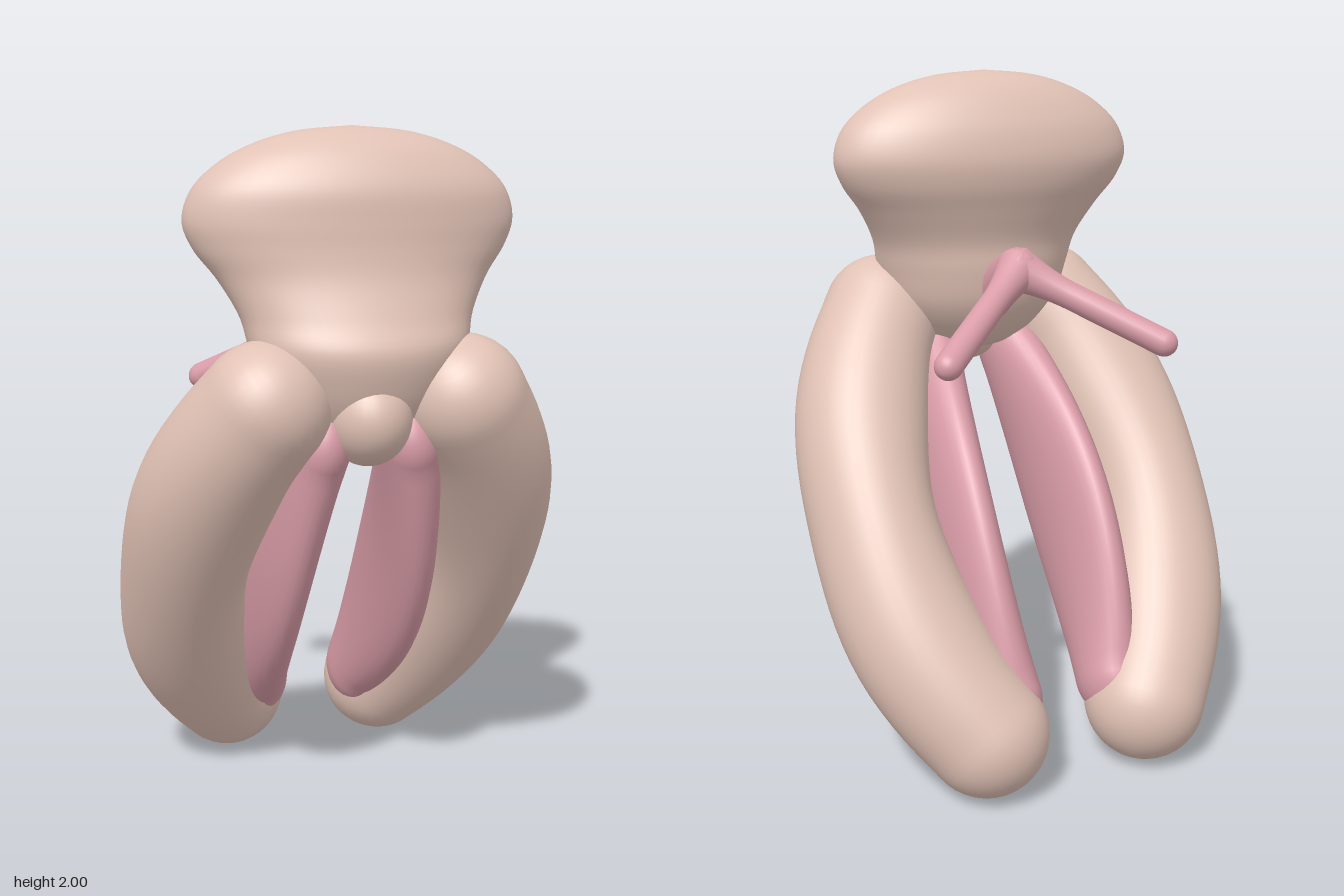
import * as THREE from 'three';

const V = (x, y, z) => new THREE.Vector3(x, y, z);

// Smooth closed skin over elliptical rings { c: centre, a, b: half axes, a x b points along the loft }
function loft(rings, sides = 40) {
  const pos = [], idx = [];
  rings.forEach(({ c, a, b }, i) => {
    for (let j = 0; j < sides; j++) {
      const t = (j / sides) * Math.PI * 2;
      const p = c.clone().addScaledVector(a, Math.cos(t)).addScaledVector(b, Math.sin(t));
      pos.push(p.x, p.y, p.z);
      if (i === rings.length - 1) continue;
      const k = i * sides + j, n = i * sides + ((j + 1) % sides);
      idx.push(k, n, k + sides, n, n + sides, k + sides);
    }
  });
  const g = new THREE.BufferGeometry();
  g.setAttribute('position', new THREE.Float32BufferAttribute(pos, 3));
  g.setIndex(idx);
  g.computeVertexNormals();
  return g;
}

// Round-ended limb along a curve; wide(t) is the half width sideways, deep(t) the other one
function limb(curve, wide, deep, cap, sides) {
  const rings = [];
  const add = (t, push, scale) => {
    const T = curve.getTangent(t);
    const a = V(1, 0, 0).addScaledVector(T, -T.x).normalize();
    const b = T.clone().cross(a);
    rings.push({
      c: curve.getPoint(t).addScaledVector(T, push),
      a: a.multiplyScalar(wide(t) * scale),
      b: b.multiplyScalar(deep(t) * scale),
    });
  };
  const capSteps = 10, steps = 30, eps = 0.002;
  for (let i = 0; i < capSteps; i++) {
    const f = (1 - i / capSteps) * Math.PI / 2;
    add(0, -cap * Math.sin(f), Math.max(Math.cos(f), eps));
  }
  for (let i = 0; i <= steps; i++) add(i / steps, 0, 1);
  for (let i = 1; i <= capSteps; i++) {
    const f = (i / capSteps) * Math.PI / 2;
    add(1, cap * Math.sin(f), Math.max(Math.cos(f), eps));
  }
  return loft(rings, sides);
}

// Bow from p to q whose middle is m; a larger spread makes it rounder
function bow(p, m, q, spread) {
  const half = p.clone().add(q).multiplyScalar(0.5);
  const rise = m.clone().sub(half), run = q.clone().sub(p).multiplyScalar(0.5);
  const pts = [];
  for (let i = -5; i <= 5; i++) {
    const f = (i / 5) * spread;
    const up = (Math.cos(f) - Math.cos(spread)) / (1 - Math.cos(spread));
    pts.push(half.clone().addScaledVector(run, Math.sin(f) / Math.sin(spread)).addScaledVector(rise, up));
  }
  return new THREE.CatmullRomCurve3(pts);
}

export function createModel() {
  const model = new THREE.Group();
  const skin = new THREE.MeshStandardMaterial({ color: 0xe1c2b5 });
  skin.name = 'skin';
  const pink = new THREE.MeshStandardMaterial({ color: 0xda9da8 });
  pink.name = 'pink';
  const add = (name, geometry, material) => {
    const m = new THREE.Mesh(geometry, material);
    m.name = name;
    model.add(m);
    return m;
  };

  // Upper mound: height, half width, back z, front z
  const profile = [
    [1.15, 0.0005, 0.3295, 0.3305], [1.17, 0.11, 0.23, 0.41], [1.23, 0.2, 0.16, 0.46],
    [1.32, 0.27, 0.105, 0.5], [1.42, 0.305, 0.085, 0.518], [1.5, 0.325, 0.08, 0.48],
    [1.6, 0.38, 0.045, 0.44], [1.68, 0.44, 0.015, 0.425], [1.75, 0.465, 0.005, 0.42],
    [1.83, 0.442, 0.02, 0.412], [1.9, 0.372, 0.055, 0.38], [1.95, 0.28, 0.095, 0.34],
    [1.985, 0.16, 0.147, 0.285], [2, 0.0005, 0.2155, 0.2165],
  ];
  const left = new THREE.CatmullRomCurve3(profile.map(([y, w, b]) => V(w, y, b)));
  const front = new THREE.CatmullRomCurve3(profile.map(([y, w, , f]) => V(w, y, f)));
  const moundRings = [];
  for (let i = 0; i <= 64; i++) {
    const p = left.getPoint(i / 64), q = front.getPoint(i / 64);
    moundRings.push({
      c: V(0, p.y, (p.z + q.z) / 2),
      a: V(0, 0, (q.z - p.z) / 2),
      b: V(p.x, 0, 0),
    });
  }
  add('upperMound', loft(moundRings, 56), skin);

  // Small hood between the lobes
  const hood = add('hood', new THREE.SphereGeometry(1, 32, 24), skin);
  hood.scale.set(0.122, 0.135, 0.15);
  hood.position.set(0, 1.235, 0.378);

  for (const s of [1, -1]) {
    const side = s > 0 ? 'left' : 'right';
    const bulge = (t) => Math.sin(Math.PI * t);

    // Large outer lobe, fuller at the quarter points
    const outer = bow(V(0.277 * s, 1.27, 0.365), V(0.451 * s, 0.72, 0.01), V(0.259 * s, 0.182, -0.362), 0.7);
    const lobeWide = (t) => 0.18 + 0.005 * bulge(t) + 0.015 * Math.sin(2 * Math.PI * t) ** 2;
    const lobeDeep = (t) => 0.18 + 0.024 * bulge(t) ** 0.8;
    add(side + 'OuterLobe', limb(outer, lobeWide, lobeDeep, 0.18, 40), skin);

    // Flat inner fold
    const inner = bow(V(0.13 * s, 1.15, 0.34), V(0.19 * s, 0.7, 0.025), V(0.162 * s, 0.26, -0.3), 0.3);
    add(side + 'InnerFold', limb(inner, () => 0.088, (t) => 0.125 + 0.117 * bulge(t), 0.13, 32), pink);

    // Rear arm
    const arm = new THREE.LineCurve3(V(0, 1.444, -0.025), V(0.333 * s, 1.25, -0.293));
    const taper = (t) => 0.04 + 0.027 * Math.max(0, 1 - t * 2.6) ** 2;
    add(side + 'RearArm', limb(arm, taper, taper, 0.042, 20), pink);
  }

  // Stem joining the rear arms to the mound
  const stem = bow(V(0, 1.34, 0.16), V(0, 1.4, 0.065), V(0, 1.444, -0.025), 1.1);
  add('rearStem', limb(stem, () => 0.06, (t) => 0.075 - 0.01 * t, 0.055, 24), pink);

  return model;
}
